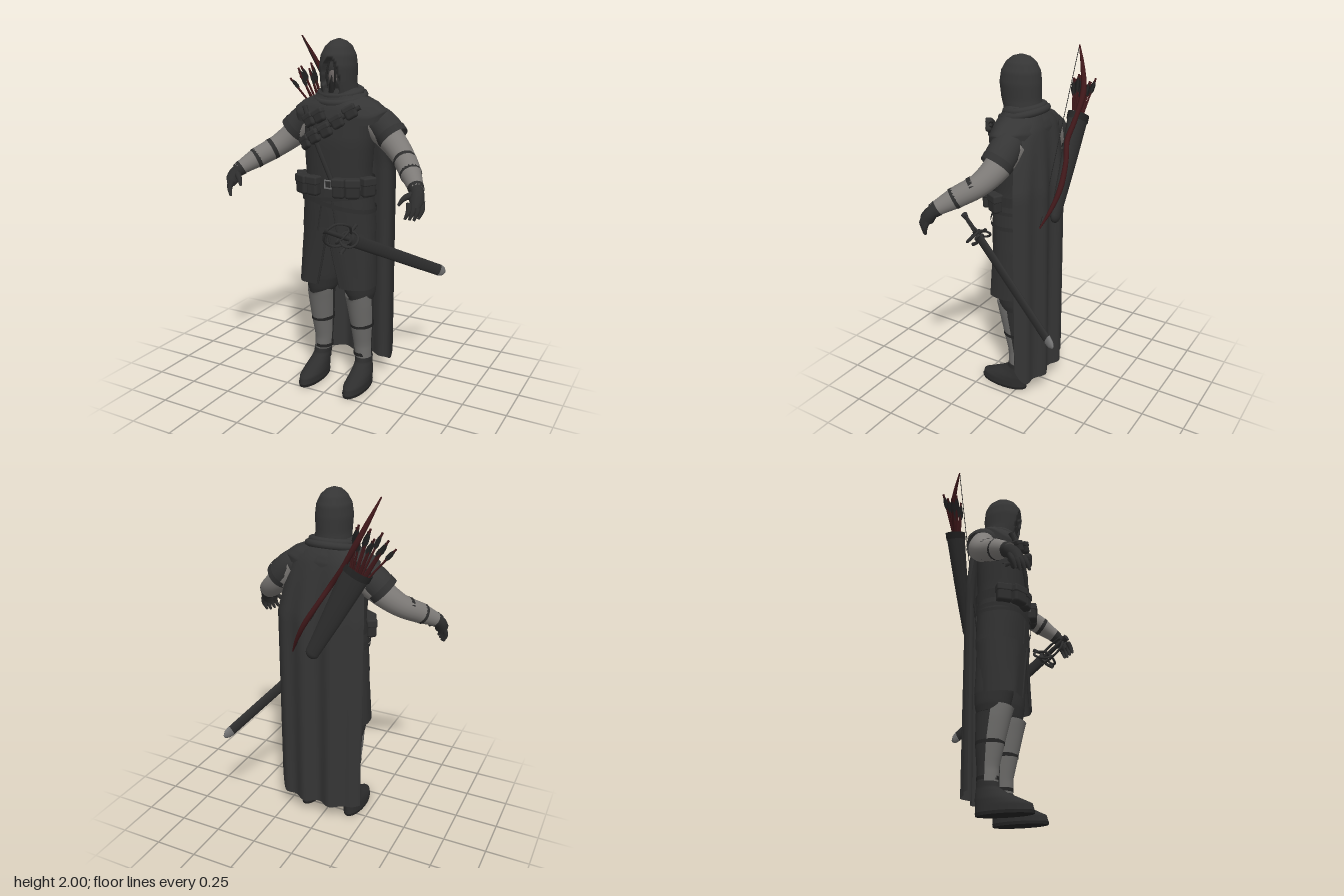
import * as THREE from 'three';
import { RoundedBoxGeometry } from 'three/addons/geometries/RoundedBoxGeometry.js';

const mat = (name, color) => Object.assign(new THREE.MeshStandardMaterial({ color, side: THREE.DoubleSide }), { name });
const V = (p) => new THREE.Vector3(...p);

export function createModel() {
  const root = new THREE.Group();
  const cloth = mat('charcoal cloth', 0x353535), tunicCloth = mat('tunic cloth', 0x313131), leather = mat('dark leather', 0x2e2e2e);
  const linen = mat('grey linen', 0x7d7a77), greaveGrey = mat('greave grey', 0x6e6d6b);
  const redWood = mat('dark red wood', 0x40181a), metal = mat('dull metal', 0x747474);
  const skin = mat('shaded skin', 0x6a6462), black = mat('near black', 0x242424);

  const add = (name, geo, material, parent = root) => {
    const m = new THREE.Mesh(geo, material);
    m.name = name;
    parent.add(m);
    return m;
  };

  // Stacked rings [y, rx, rz, cz, cx], bottom to top; angle 0 faces +z. warp may move each point.
  const loft = (rings, { n = 36, steps = 4, a0 = 0, a1 = Math.PI * 2, p = 1, warp, cap = true } = {}) => {
    const closed = a1 - a0 > 6.28, rows = (rings.length - 1) * steps, cols = closed ? n : n + 1;
    const pos = [], idx = [], pw = (v) => Math.sign(v) * Math.abs(v) ** p;
    for (let i = 0; i <= rows; i++) {
      const k = Math.min(Math.floor(i / steps), rings.length - 2), f = i / steps - k;
      const [y, rx, rz, cz = 0, cx = 0] = rings[k].map((v, c) => v + ((rings[k + 1][c] ?? v) - v) * f);
      for (let j = 0; j < cols; j++) {
        const a = a0 + (a1 - a0) * j / n;
        const q = new THREE.Vector3(cx + rx * pw(Math.sin(a)), y, cz + rz * pw(Math.cos(a)));
        if (warp) warp(q, a, i / rows);
        pos.push(q.x, q.y, q.z);
        if (i < rows && j < n) {
          const b = i * cols + j, c = i * cols + (j + 1) % cols;
          idx.push(b, c, c + cols, b, c + cols, b + cols);
        }
      }
    }
    if (closed && cap) for (const row of [0, rows]) {
      const s = pos.length / 3, e = rings[row ? rings.length - 1 : 0];
      pos.push(...pos.slice(row * cols * 3, (row + 1) * cols * 3), e[4] ?? 0, e[0], e[3] ?? 0);
      for (let j = 0; j < n; j++) {
        const a = s + j, b = s + (j + 1) % n;
        idx.push(...(row ? [s + n, a, b] : [s + n, b, a]));
      }
    }
    const g = new THREE.BufferGeometry();
    g.setAttribute('position', new THREE.Float32BufferAttribute(pos, 3));
    g.setIndex(idx);
    g.computeVertexNormals();
    return g;
  };

  // Tube along a curve with radii spread evenly over its length
  const limb = (pts, radii, sides = 12, seg = 24) => {
    const curve = new THREE.CatmullRomCurve3(pts.map(V));
    const g = new THREE.TubeGeometry(curve, seg, 1, sides), P = g.attributes.position, v = new THREE.Vector3();
    for (let i = 0; i < P.count; i++) {
      const t = Math.floor(i / (sides + 1)) / seg, c = curve.getPointAt(t), u = t * (radii.length - 1);
      const k = Math.min(Math.floor(u), Math.max(radii.length - 2, 0));
      const r = radii.length > 1 ? THREE.MathUtils.lerp(radii[k], radii[k + 1], u - k) : radii[0];
      v.fromBufferAttribute(P, i).sub(c).multiplyScalar(r).add(c);
      P.setXYZ(i, v.x, v.y, v.z);
    }
    return g;
  };
  const box = (w, h, d, r = 0.01) => new RoundedBoxGeometry(w, h, d, 2, r);

  // Hood with a recessed face opening
  add('hood', loft([[1.64, 0.115, 0.115, 0.045], [1.7, 0.1, 0.105, 0.05], [1.76, 0.096, 0.112, 0.062], [1.84, 0.1, 0.117, 0.066],
    [1.9, 0.092, 0.109, 0.064], [1.945, 0.07, 0.085, 0.061], [1.972, 0.042, 0.052, 0.06], [1.986, 0.004, 0.004, 0.06]],
  { n: 64, steps: 5, warp: (q) => {
    const w = 0.046 * Math.sqrt(Math.max(0, 1 - ((q.y - 1.77) / 0.11) ** 2));
    if (q.z > 0.08 && Math.abs(q.x) < w) q.z -= 0.045;
  } }), cloth);
  add('mask', new THREE.SphereGeometry(1, 20, 14).scale(0.042, 0.07, 0.05).translate(0, 1.745, 0.085), black);
  add('face', new THREE.SphereGeometry(1, 20, 14).scale(0.032, 0.05, 0.035).translate(0, 1.795, 0.108), skin);
  for (const s of [-1, 1])
    add('hairStrand', limb([[s * 0.015, 1.87, 0.14], [s * 0.026, 1.8, 0.15], [s * 0.018, 1.72, 0.145]], [0.005, 0.006, 0.002], 6), black);
  add('noseCover', limb([[0, 1.8, 0.14], [0, 1.77, 0.146], [0, 1.71, 0.135]], [0.002, 0.009, 0.022], 8), black);

  // Torso, mantle and collar folds
  add('tunic', loft([[1.15, 0.195, 0.135, 0.06], [1.28, 0.188, 0.14, 0.06], [1.45, 0.2, 0.143, 0.06], [1.57, 0.195, 0.135, 0.05], [1.66, 0.13, 0.1, 0.04]], { p: 0.88 }), tunicCloth);
  add('mantle', loft([[1.58, 0.27, 0.145, 0.04], [1.615, 0.275, 0.145, 0.04], [1.652, 0.225, 0.135, 0.04], [1.685, 0.15, 0.118, 0.04], [1.73, 0.1, 0.1, 0.045]],
    { n: 48, cap: false, warp: (q, a, t) => { q.y -= (1 - t) * 0.045 * Math.max(0, Math.cos(a)) + (1 - t) * 0.008 * Math.cos(7 * a); } }), cloth);
  for (const [r, y, tilt] of [[0.112, 1.705, 0.18], [0.132, 1.68, 0.25]]) {
    const fold = add('collarFold', new THREE.TorusGeometry(r, 0.02, 10, 40).rotateX(Math.PI / 2), cloth);
    fold.position.set(0, y, 0.04);
    fold.rotation.x = tilt;
    fold.scale.z = 0.9;
  }

  // Skirt: short overlayer and long layer split at the front
  add('upperSkirt', loft([[0.95, 0.218, 0.142, 0.057], [1.08, 0.208, 0.14, 0.06], [1.2, 0.196, 0.138, 0.06]], { cap: false, p: 0.9 }), tunicCloth);
  add('longSkirt', loft([[0.63, 0.228, 0.127, 0.06], [0.8, 0.222, 0.132, 0.058], [0.96, 0.212, 0.136, 0.058], [1.17, 0.19, 0.13, 0.06]],
    { n: 60, p: 0.9, a0: 0.006, a1: Math.PI * 2 - 0.006, warp: (q, a) => {
      const gap = Math.max(0, 0.96 - q.y) * 0.22, front = Math.max(0, Math.cos(a));
      q.x += (a < Math.PI ? 1 : -1) * gap * front ** 2;
      q.z += 0.006 * Math.sin(a * 9) * (1.17 - q.y);
    } }), tunicCloth);
  for (const s of [-1, 1]) {
    add('skirtEdge', limb([[s * 0.004, 0.95, 0.2], [s * 0.035, 0.8, 0.192], [s * 0.072, 0.635, 0.187]], [0.006], 6), leather);
    add('frontSeam', limb([[s * 0.03, 1.14, 0.2], [s * 0.06, 0.955, 0.195]], [0.005], 6), leather);
  }

  // Belts, buckle and pouches
  const ringBelt = (name, y, h, rx, rz, tilt) => add(name, loft([[y - h, rx, rz, 0.06], [y + h, rx, rz, 0.06]],
    { steps: 1, cap: false, p: 0.88, warp: (q) => { q.y += tilt * q.x; } }), leather);
  ringBelt('waistBelt', 1.225, 0.028, 0.204, 0.15, 0);
  ringBelt('swordBelt', 1.11, 0.012, 0.217, 0.15, -0.18);
  ringBelt('swordBeltLoop', 1.14, 0.01, 0.214, 0.15, 0.1);
  add('buckle', new THREE.TorusGeometry(0.03, 0.006, 6, 4).rotateZ(Math.PI / 4).translate(0.015, 1.225, 0.214), metal);
  const pouch = (x, y, z, w, h, d, ry, rz = 0) => {
    const g = new THREE.Group();
    g.name = 'pouch';
    g.position.set(x, y, z);
    g.rotation.set(0, ry, rz);
    add('pouchBody', box(w, h, d, 0.016), leather, g);
    add('pouchFlap', box(w * 1.06, h * 0.45, d * 1.1, 0.01), tunicCloth, g).position.y = h * 0.3;
    root.add(g);
  };
  for (const [x, z, ry, w] of [[-0.2, 0.125, -1, 0.085], [-0.15, 0.195, -0.5, 0.09], [-0.075, 0.212, -0.15, 0.07], [0.08, 0.212, 0.15, 0.07], [0.15, 0.19, 0.5, 0.08], [0.2, 0.11, 1.1, 0.08]])
    pouch(x, 1.21, z, w, 0.105, 0.056, ry);

  // Chest straps and the row of small pouches
  const chestZ = (x) => 0.055 + 0.145 * Math.sqrt(Math.max(0, 1 - (x / 0.21) ** 2));
  const strap = (name, pts) => add(name, limb(pts.map(([x, y]) => [x, y, chestZ(x) + 0.006]), [0.014], 6), leather);
  strap('quiverStrap', [[-0.16, 1.63], [-0.1, 1.52], [-0.04, 1.4], [0.03, 1.25]]);
  strap('bandolier', [[-0.19, 1.4], [-0.1, 1.47], [0.03, 1.55], [0.17, 1.64]]);
  for (const [x, y] of [[-0.145, 1.435], [-0.075, 1.475], [0, 1.515], [0.065, 1.565], [0.13, 1.615], [-0.11, 1.56], [-0.04, 1.59]])
    pouch(x, y, chestZ(x) + 0.012, 0.07, 0.072, 0.036, x * 2.5, 0.5);

  // Arms and legs, mirrored
  for (const s of [-1, 1]) {
    const side = new THREE.Group();
    side.name = s > 0 ? 'leftLimbs' : 'rightLimbs';
    root.add(side);
    const m = (pts) => pts.map(([x, y, z]) => [x * s, y, z]);
    const part = (name, pts, radii, material, sides = 14) => add(name, limb(m(pts), radii, sides), material, side);
    part('linenSleeve', [[0.19, 1.55, 0.01], [0.3, 1.46, 0.025], [0.39, 1.385, 0.075], [0.47, 1.325, 0.165], [0.545, 1.262, 0.258]], [0.085, 0.074, 0.062, 0.057, 0.037], linen, 20);
    part('shortSleeve', [[0.15, 1.575, 0.015], [0.22, 1.55, 0.015], [0.265, 1.515, 0.018], [0.305, 1.475, 0.025]], [0.06, 0.083, 0.086, 0.083], cloth, 20);
    part('sleeveCuff', [[0.287, 1.495, 0.02], [0.314, 1.468, 0.027]], [0.088, 0.086], tunicCloth, 20);
    for (const [x, y, z, r] of [[0.412, 1.368, 0.1, 0.062], [0.475, 1.321, 0.171, 0.057]])
      part('armStrap', [[x - 0.007, y + 0.005, z - 0.008], [x + 0.007, y - 0.005, z + 0.008]], [r], leather, 18);
    part('gloveCuff', [[0.531, 1.273, 0.24], [0.549, 1.256, 0.262]], [0.043, 0.038], leather);
    part('palm', [[0.54, 1.265, 0.25], [0.555, 1.24, 0.272], [0.56, 1.205, 0.295], [0.562, 1.18, 0.308]], [0.032, 0.036, 0.038, 0.02], leather);
    for (let f = 0; f < 4; f++) {
      const x = 0.588 - f * 0.016, z = 0.27 + f * 0.02;
      part('finger', [[x - 0.006, 1.21, z], [x, 1.17, z + 0.016], [x - 0.014, 1.12 + 0.006 * Math.abs(f - 1), z + 0.028]], [0.015, 0.014, 0.007], leather, 8);
    }
    part('thumb', [[0.54, 1.245, 0.275], [0.5, 1.225, 0.31], [0.477, 1.19, 0.33]], [0.021, 0.016, 0.007], leather, 8);

    const leg = (name, rings, material, opts) => add(name, loft(rings.map(([y, rx, rz, cz, cx = 0.13]) => [y, rx, rz, cz, cx * s]), opts), material, side);
    leg('breeches', [[0.54, 0.068, 0.085, 0.035], [0.58, 0.088, 0.096, 0.036, 0.122], [0.65, 0.102, 0.105, 0.04, 0.116], [0.8, 0.104, 0.108, 0.048, 0.108], [1, 0.1, 0.115, 0.055, 0.1]], tunicCloth);
    leg('lowerLeg', [[0.1, 0.045, 0.05, 0.01, 0.138], [0.22, 0.047, 0.053, 0.008], [0.38, 0.061, 0.074, 0.018], [0.56, 0.068, 0.09, 0.035, 0.125]], leather);
    leg('greave', [[0.165, 0.049, 0.056, 0.012, 0.136], [0.25, 0.052, 0.059, 0.013], [0.38, 0.064, 0.078, 0.025], [0.5, 0.072, 0.09, 0.043, 0.127], [0.57, 0.075, 0.1, 0.053, 0.123]], greaveGrey,
      { a0: -1.6, a1: 1.6, n: 24, warp: (q, a, t) => { if (t === 1) q.y += 0.02 * (Math.abs(Math.sin(a)) - 0.6); } });
    for (const [y, rx, rz, cz] of [[0.375, 0.066, 0.079, 0.024], [0.19, 0.053, 0.059, 0.012]])
      leg('greaveStrap', [[y - 0.01, rx, rz, cz], [y + 0.01, rx, rz, cz]], black, { steps: 1, cap: false });
    leg('boot', [[0.015, 0.06, 0.152, 0.105, 0.145], [0.05, 0.061, 0.148, 0.1, 0.145], [0.08, 0.057, 0.118, 0.068, 0.145], [0.11, 0.051, 0.086, 0.036, 0.142], [0.14, 0.048, 0.062, 0.016, 0.139], [0.17, 0.052, 0.058, 0.012, 0.137]], leather);
    leg('sole', [[0, 0.06, 0.152, 0.105, 0.145], [0.016, 0.062, 0.155, 0.105, 0.145]], black, { steps: 1 });
  }

  // Cape: folded sheet hanging from the shoulders
  const cape = new THREE.PlaneGeometry(1, 1, 60, 40), cp = cape.attributes.position;
  for (let i = 0; i < cp.count; i++) {
    const u = cp.getX(i) * 2, t = 0.5 - cp.getY(i), w = Math.min(1, t * 4);
    const half = THREE.MathUtils.lerp(0.17, 0.262, Math.sqrt(w)), cx = 0.028 * w;
    const corner = 0.1 * Math.max(0, (u - 0.75) / 0.25) ** 3 * t ** 6;
    const back = THREE.MathUtils.lerp(-0.075, -0.14, Math.sqrt(w));
    const fold = 0.018 * w * Math.cos(u * 10 + 0.6) * (0.4 + 0.6 * t);
    cp.setXYZ(i, cx + half * u, 1.69 - 1.575 * t - 0.05 * u * u * (1 - w) + corner, back + 0.08 * Math.abs(u) ** 4 + fold * (1 - u ** 4));
  }
  cape.computeVertexNormals();
  add('cape', cape, cloth);

  // Quiver (flattened front to back), arrows and bow
  const quiver = new THREE.Group();
  quiver.name = 'quiver';
  root.add(quiver);
  const flat = (g) => g.translate(0, 0, 0.162).scale(1, 1, 0.62).translate(0, 0, -0.162);
  add('quiverBody', flat(limb([[0.02, 1.13, -0.17], [-0.1, 1.36, -0.165], [-0.235, 1.63, -0.155]], [0.04, 0.06, 0.08], 18)), leather, quiver);
  add('quiverRim', flat(limb([[-0.222, 1.605, -0.156], [-0.24, 1.64, -0.155]], [0.085], 18)), black, quiver);
  add('quiverBase', flat(new THREE.SphereGeometry(0.041, 14, 10).translate(0.02, 1.13, -0.17)), leather, quiver);
  for (let i = 0; i < 12; i++) {
    const tip = V([-0.42 + 0.0185 * i, 1.75 + 0.05 * ((i * 5) % 3) / 2 + 0.006 * i, -0.115 - 0.06 * ((i * 7) % 4) / 3]);
    const base = V([-0.235 + 0.009 * (i - 5), 1.58, -0.15]), at = (t) => base.clone().lerp(tip, t).toArray();
    add('arrowShaft', limb([base.toArray(), tip.toArray()], [0.006], 6, 1), redWood, quiver);
    add('arrowFletching', limb([at(0.62), at(0.68), at(0.92), at(0.96)], [0.004, 0.015, 0.014, 0.005], 3, 6), black, quiver);
  }
  const bowTop = [-0.33, 1.995, -0.105], bowEnd = [0.155, 1.1, -0.145];
  add('bow', limb([bowTop, [-0.292, 1.9, -0.145], [-0.235, 1.77, -0.185], [-0.15, 1.62, -0.178], [-0.09, 1.53, -0.17], [-0.03, 1.43, -0.197], [0.05, 1.3, -0.207], [0.11, 1.19, -0.182], bowEnd],
    [0.004, 0.013, 0.017, 0.014, 0.015, 0.014, 0.016, 0.012, 0.004], 8, 60), redWood);
  add('bowString', limb([bowTop, bowEnd], [0.002], 5, 1), black);

  // Sword in its scabbard: local +y runs from pommel to tip, z is the broad side
  const pommel = V([0.09, 1.03, 0.405]), end = V([0.468, 0.608, -0.412]), dir = end.clone().sub(pommel), len = dir.length();
  dir.normalize();
  const thin = new THREE.Vector3().crossVectors(dir, V([0, 1, 0])).normalize();
  const sword = new THREE.Group();
  sword.name = 'sword';
  sword.position.copy(pommel);
  sword.quaternion.setFromRotationMatrix(new THREE.Matrix4().makeBasis(thin, dir, new THREE.Vector3().crossVectors(thin, dir)));
  root.add(sword);
  add('scabbard', loft([[0.2, 0.015, 0.036], [len - 0.05, 0.013, 0.034]], { n: 16, steps: 1 }), leather, sword);
  add('scabbardTip', loft([[len - 0.055, 0.015, 0.036], [len - 0.02, 0.013, 0.028], [len, 0.004, 0.01]], { n: 16 }), metal, sword);
  add('grip', new THREE.CylinderGeometry(0.014, 0.012, 0.17, 10).translate(0, 0.1, 0), leather, sword);
  add('pommel', new THREE.CylinderGeometry(0.014, 0.02, 0.03, 10).translate(0, 0.01, 0), leather, sword);
  add('guardPlate', new THREE.CylinderGeometry(0.03, 0.03, 0.015, 14).translate(0, 0.19, 0), leather, sword);
  add('crossGuard', limb([[0.01, 0.16, -0.085], [0, 0.185, -0.04], [0, 0.185, 0.04], [-0.01, 0.21, 0.085]], [0.011, 0.007, 0.007, 0.011], 8), leather, sword);
  for (const s of [-1, 1]) {
    add('knuckleBow', limb([[0, 0.02, 0], [s * 0.025, 0.05, s * 0.05], [s * 0.035, 0.13, s * 0.065], [0, 0.19, s * 0.03]], [0.007], 8), leather, sword);
    const ring = add('guardRing', new THREE.TorusGeometry(0.048, 0.007, 8, 24), leather, sword);
    ring.position.set(s * 0.03, 0.165, 0);
    ring.rotation.set(1.1, s * 0.5, 0);
  }
  return root;
}
